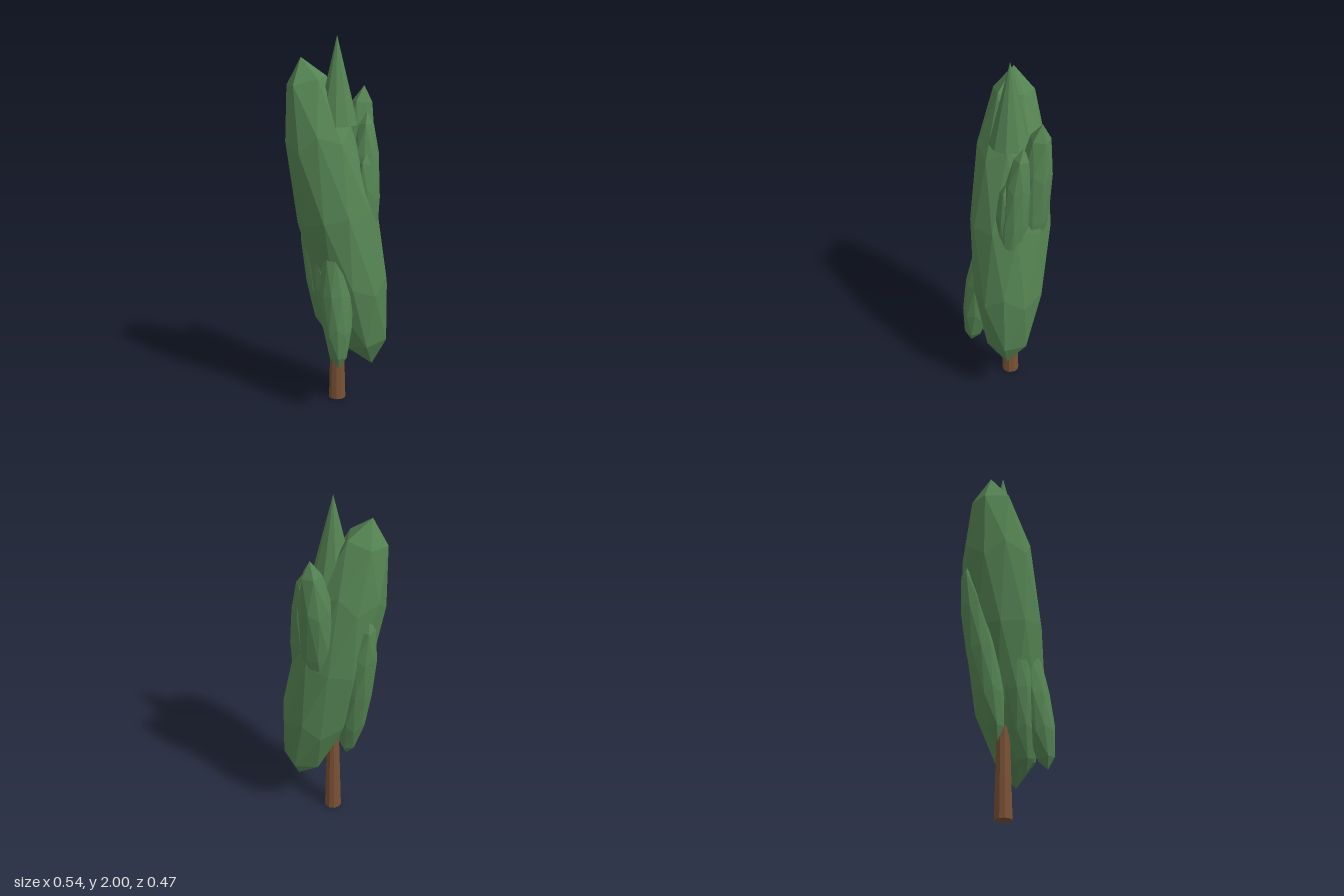
import * as THREE from 'three';

export function createModel() {
  const tree = new THREE.Group();
  tree.name = 'cypressTree';

  const foliage = new THREE.MeshStandardMaterial({ color: 0x558453, flatShading: true });
  foliage.name = 'foliage green';
  const bark = new THREE.MeshStandardMaterial({ color: 0x7a5236, flatShading: true });
  bark.name = 'bark brown';

  const add = (name, geometry, material) => {
    const mesh = new THREE.Mesh(geometry, material);
    mesh.name = name;
    tree.add(mesh);
    return mesh;
  };

  // Faceted spindle of leaves whose poles sit at the two given tips
  const UP = new THREE.Vector3(0, 1, 0);
  function leafClump(name, top, bottom, radius, turn = -87) {
    const a = new THREE.Vector3(...top);
    const b = new THREE.Vector3(...bottom);
    const half = a.clone().sub(b).multiplyScalar(0.5);
    const geometry = new THREE.IcosahedronGeometry(1, 1);
    geometry.rotateZ(-Math.atan(2 / (1 + Math.sqrt(5)))); // a corner becomes the pole
    geometry.rotateY(THREE.MathUtils.degToRad(turn));
    geometry.scale(radius, half.length(), radius);
    const mesh = add(name, geometry, foliage);
    mesh.quaternion.setFromUnitVectors(UP, half.clone().normalize());
    mesh.position.copy(a).add(b).multiplyScalar(0.5);
  }

  // Trunk
  add('trunk', new THREE.CylinderGeometry(0.026, 0.047, 0.8, 10), bark).position.set(0, 0.4, 0.005);

  // Pointed crown
  add('crownTip', new THREE.ConeGeometry(0.111, 0.46, 10), foliage).position.set(0, 1.77, 0.005);

  // Main body and the smaller clumps around it
  leafClump('mainFoliage', [-0.18, 1.88, 0.083], [0.18, 0.22, -0.073], 0.216);
  leafClump('backClump', [0.025, 1.72, -0.192], [-0.005, 0.58, -0.03], 0.105);
  leafClump('backLeftClump', [0.097, 1.6, -0.125], [0.143, 0.7, -0.035], 0.08, -60);
  leafClump('leftClump', [0.145, 1.4, -0.055], [0.115, 0.6, -0.045], 0.07, -75);
  leafClump('frontClump', [0.05, 1.04, 0.085], [0.15, 0.26, 0.175], 0.088);
  leafClump('lowerFrontClump', [-0.055, 1.1, 0.1], [0.095, 0.255, 0.08], 0.09);
  leafClump('rightClump', [-0.23, 1.38, -0.04], [-0.07, 0.39, 0.03], 0.088);

  return tree;
}
